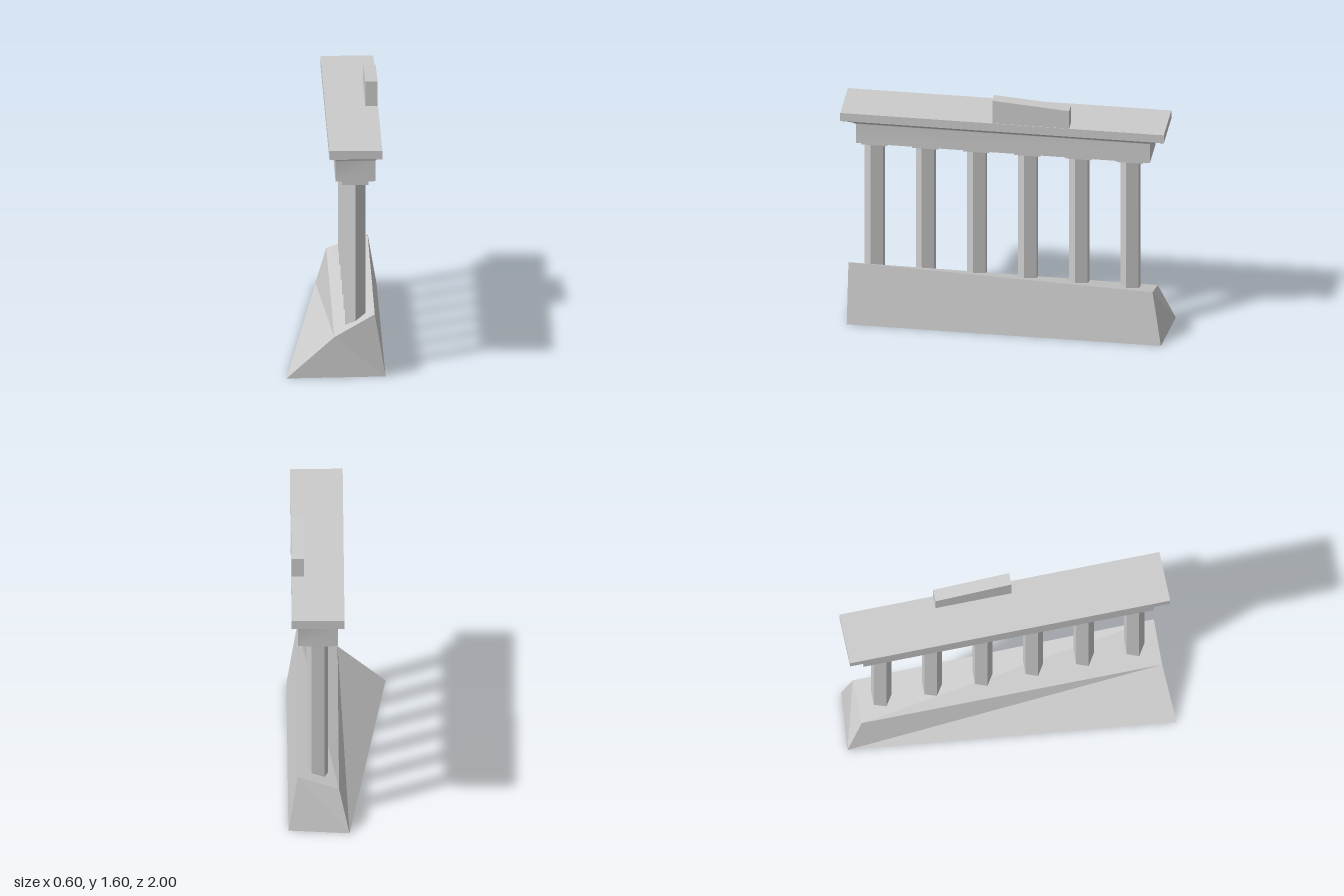
import * as THREE from 'three';

const material = () => new THREE.MeshStandardMaterial({ color: 0xcccccc, flatShading: true });

function add(parent, name, geometry, x = 0, y = 0, z = 0, mat = material()) {
  const mesh = new THREE.Mesh(geometry, mat);
  mesh.name = name;
  mesh.position.set(x, y, z);
  parent.add(mesh);
  return mesh;
}

// Uneven ground wedge, open underneath: two end outlines joined by strips
function wedgeGeometry() {
  const front = [[0.30, 0, 0.95], [0.235, 0.393, 0.95], [-0.01, 0.25, 0.955], [-0.30, 0, 0.99]];
  const back = [[0.26, 0, -0.97], [0.205, 0.335, -0.91], [-0.045, 0.25, -0.90], [-0.11, 0, -1.0]];
  const pos = [];
  const quad = (a, b, c, d) => pos.push(...a, ...b, ...c, ...a, ...c, ...d);
  for (let i = 0; i < 3; i++) quad(front[i], back[i], back[i + 1], front[i + 1]);
  quad(...front);
  quad(...[...back].reverse());
  const g = new THREE.BufferGeometry();
  g.setAttribute('position', new THREE.Float32BufferAttribute(pos, 3));
  g.computeVertexNormals();
  return g;
}

// Rectangular beam whose upper edge curves out in a cove, mitred at the corners
function beamGeometry(hx, hz, flareX, flareZ) {
  // [height, share of the flare]
  const profile = [[1.22, 0], [1.35, 0], [1.358, 0.12], [1.366, 0.3], [1.375, 0.6], [1.385, 1]];
  const corners = [[1, 1], [1, -1], [-1, -1], [-1, 1]];
  const pos = [], index = [];
  for (let s = 0; s < 4; s++) {
    const start = pos.length / 3;
    for (const [y, t] of profile)
      for (const [sx, sz] of [corners[s], corners[(s + 1) % 4]])
        pos.push(sx * (hx + t * flareX), y, sz * (hz + t * flareZ));
    for (let i = 0; i < profile.length - 1; i++) {
      const a = start + i * 2;
      index.push(a, a + 1, a + 3, a, a + 3, a + 2);
    }
  }
  // underside
  const b = pos.length / 3;
  for (const [sx, sz] of corners) pos.push(sx * hx, 1.22, sz * hz);
  index.push(b, b + 2, b + 1, b, b + 3, b + 2);
  const g = new THREE.BufferGeometry();
  g.setAttribute('position', new THREE.Float32BufferAttribute(pos, 3));
  g.setIndex(index);
  g.computeVertexNormals();
  return g;
}

export function createModel() {
  const model = new THREE.Group();
  model.name = 'ruinedColonnade';

  const ground = add(model, 'groundWedge', wedgeGeometry());
  ground.material.side = THREE.DoubleSide;

  // Colonnade, turned slightly against the ground
  const colonnade = new THREE.Group();
  colonnade.name = 'colonnade';
  colonnade.position.x = 0.1;
  colonnade.rotation.y = 0.02;
  model.add(colonnade);

  // Five-sided columns with square capitals
  const columnBottom = 0.14, columnTop = 1.19;
  const columnHeight = columnTop - columnBottom;
  for (let i = 0; i < 6; i++) {
    const z = 0.805 - i * 0.3125;
    add(colonnade, 'column', new THREE.CylinderGeometry(0.065, 0.065, columnHeight, 5),
      0, columnBottom + columnHeight / 2, z);
    add(colonnade, 'capital', new THREE.BoxGeometry(0.16, 0.03, 0.16), 0, 1.205, z - 0.003);
  }

  // Beam and cornice slab
  const smooth = new THREE.MeshStandardMaterial({ color: 0xcccccc });
  add(colonnade, 'beam', beamGeometry(0.12, 0.898, 0.04, 0.091), 0, 0, 0.0075, smooth);
  add(colonnade, 'corniceSlab', new THREE.BoxGeometry(0.32, 0.055, 1.978), 0, 1.4125, 0.0075);

  // Remnant block with a top that slopes down to the back
  const block = new THREE.BoxGeometry(0.075, 0.155, 0.47);
  const p = block.attributes.position;
  for (let i = 0; i < p.count; i++)
    if (p.getY(i) > 0 && p.getZ(i) < 0) p.setY(i, p.getY(i) - 0.035);
  block.computeVertexNormals();
  add(colonnade, 'remnantBlock', block, 0.12, 1.5175, -0.168);

  return model;
}
